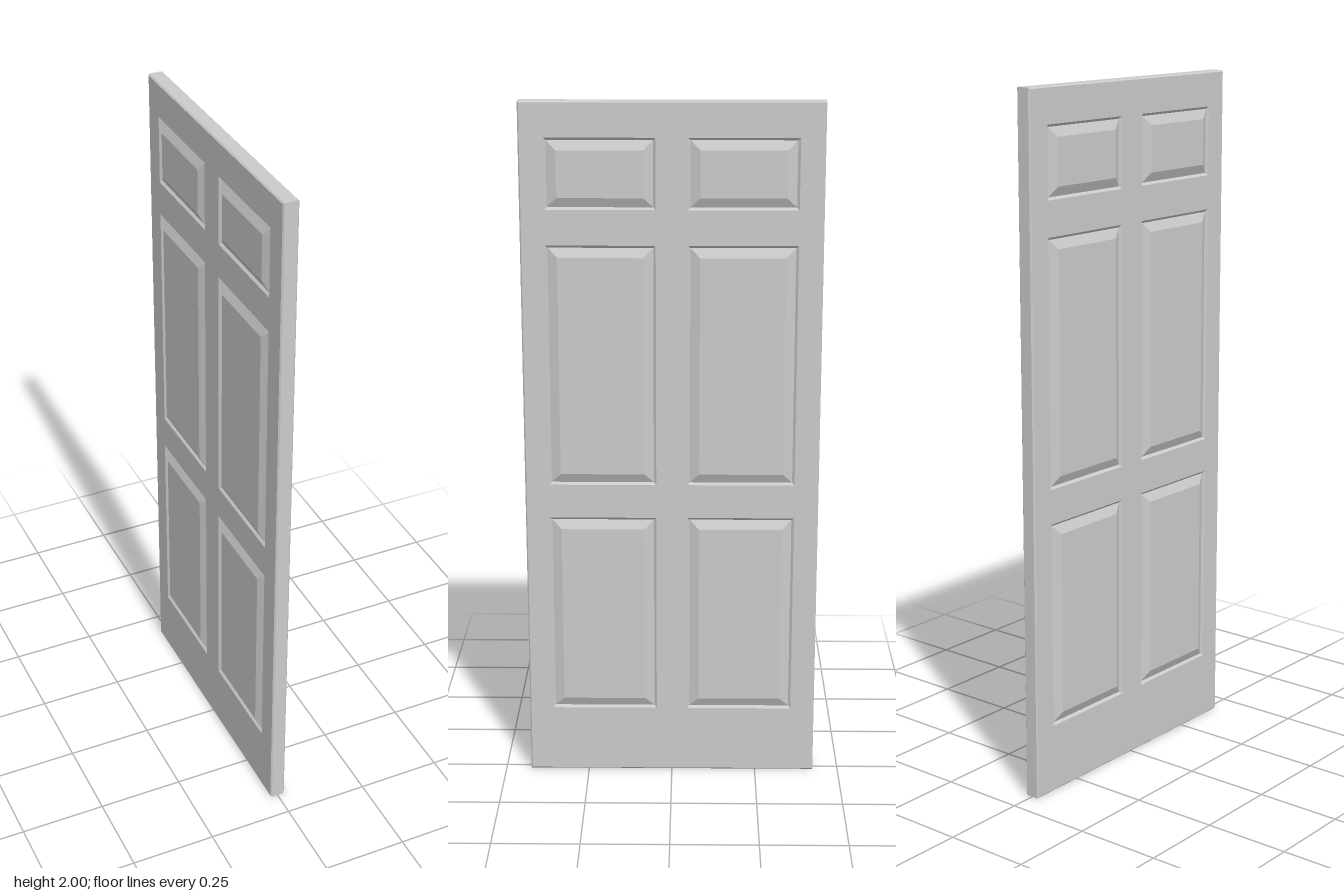
import * as THREE from 'three';

const HALF_W = 0.425, HEIGHT = 2, FACE = 0.0225, CHAMFER = 0.004;
const material = new THREE.MeshStandardMaterial({ color: 0xcccccc, flatShading: true });

// Corners of a rectangle, counter-clockwise, inset by a margin
function corners({ x0, x1, y0, y1 }, inset) {
  return [[x0 + inset, y0 + inset], [x1 - inset, y0 + inset], [x1 - inset, y1 - inset], [x0 + inset, y1 - inset]];
}

// Joins rectangular rings given as [inset, depth]; optionally caps the last one
function rectLoft(rect, profile, cap) {
  const rings = profile.map(([inset, d]) => corners(rect, inset).map(([x, y]) => [x, y, d]));
  const pos = [];
  const quad = (a, b, c, d) => pos.push(...a, ...b, ...c, ...a, ...c, ...d);
  for (let r = 0; r < rings.length - 1; r++) {
    for (let i = 0; i < 4; i++) {
      const j = (i + 1) % 4;
      quad(rings[r][i], rings[r][j], rings[r + 1][j], rings[r + 1][i]);
    }
  }
  if (cap) quad(...rings[rings.length - 1]);
  const geometry = new THREE.BufferGeometry();
  geometry.setAttribute('position', new THREE.Float32BufferAttribute(pos, 3));
  geometry.computeVertexNormals();
  return geometry;
}

function mesh(geometry, name) {
  const m = new THREE.Mesh(geometry, material);
  m.name = name;
  return m;
}

export function createModel() {
  const door = new THREE.Group();
  door.name = 'panelDoor';
  const outline = { x0: -HALF_W, x1: HALF_W, y0: 0, y1: HEIGHT };

  // Two columns of three panels
  const panels = [];
  for (const [y0, y1] of [[0.2, 0.8], [0.9, 1.6], [1.7, 1.9]]) {
    panels.push({ x0: -0.355, x1: -0.045, y0, y1 }, { x0: 0.045, x1: 0.355, y0, y1 });
  }

  // Flat face of stiles and rails with openings for the panels
  const shape = new THREE.Shape(corners(outline, CHAMFER).map(p => new THREE.Vector2(...p)));
  for (const p of panels) {
    shape.holes.push(new THREE.Path(corners(p, 0).reverse().map(q => new THREE.Vector2(...q))));
  }
  const faceGeometry = new THREE.ShapeGeometry(shape).translate(0, 0, FACE);

  // Groove around each panel, then a bevel up to the raised field
  const panelProfile = [[0, FACE], [0.007, 0.016], [0.034, 0.0285]];

  for (const side of [1, -1]) {
    const leaf = new THREE.Group();
    leaf.name = side > 0 ? 'leftFace' : 'rightFace';
    leaf.rotation.y = side * Math.PI / 2;
    leaf.add(mesh(faceGeometry, 'stilesAndRails'));
    for (const p of panels) leaf.add(mesh(rectLoft(p, panelProfile, true), 'raisedPanel'));
    door.add(leaf);
  }

  // Chamfered rim around the slab
  const rim = mesh(rectLoft(outline, [
    [CHAMFER, -FACE], [0, -FACE + CHAMFER], [0, FACE - CHAMFER], [CHAMFER, FACE],
  ], false), 'doorEdge');
  rim.rotation.y = Math.PI / 2;
  door.add(rim);

  return door;
}
